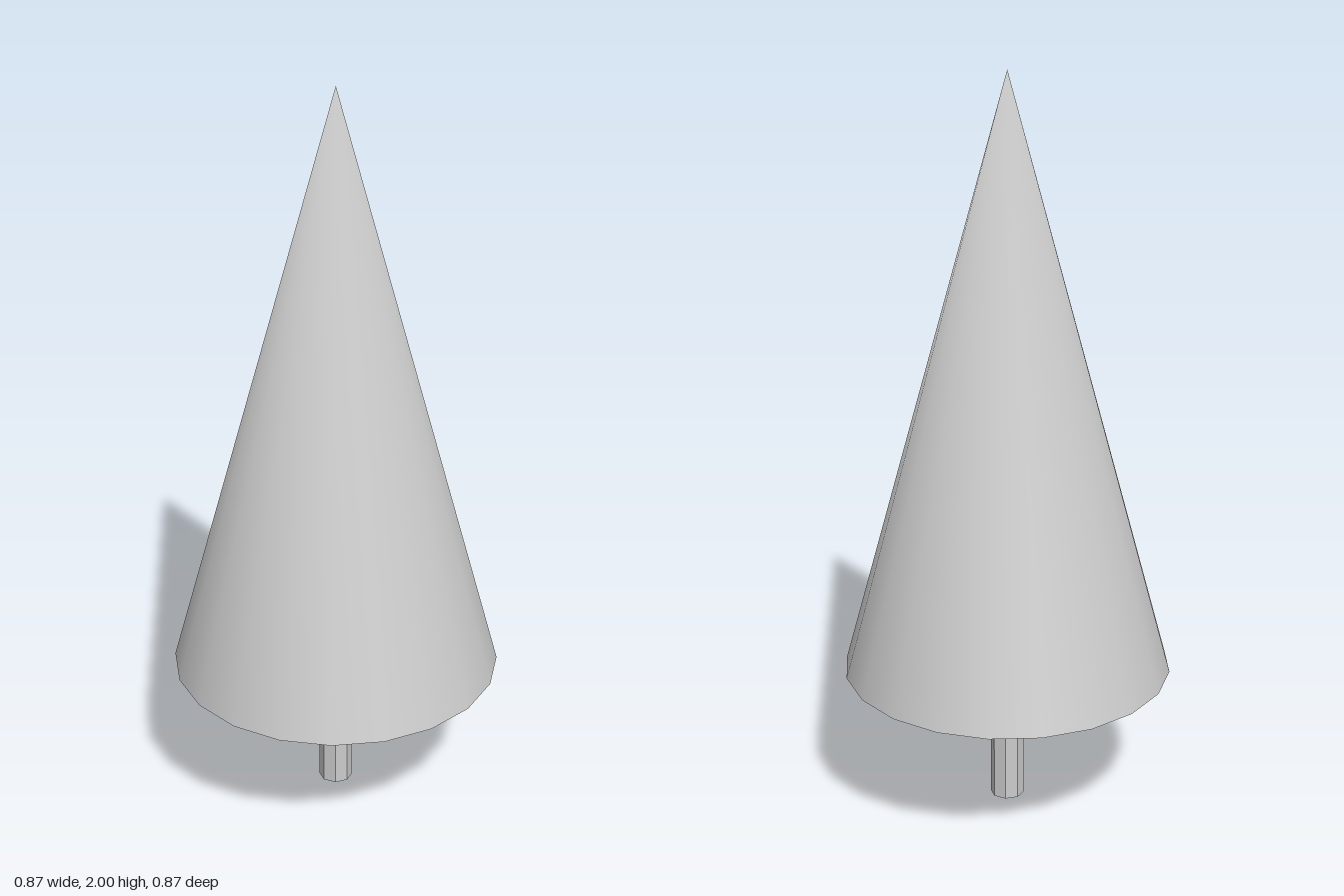
import * as THREE from 'three';

export function createModel() {
  const model = new THREE.Group();
  model.name = 'tree';

  // Foliage: smooth 20-sided cone with a flat underside
  const sides = 20, baseY = 0.385, height = 2 - baseY;
  const cone = new THREE.ConeGeometry(0.434, height, sides);
  // The tip shares one upward normal, so the shading runs smoothly over it
  for (let i = 0; i <= sides; i++) cone.attributes.normal.setXYZ(i, 0, 1, 0);
  const foliage = new THREE.Mesh(cone, new THREE.MeshStandardMaterial({ color: 0xcccccc }));
  foliage.name = 'foliage';
  foliage.position.y = baseY + height / 2;
  model.add(foliage);

  // Trunk: faceted octagonal post
  const trunk = new THREE.Mesh(
    new THREE.CylinderGeometry(0.045, 0.045, baseY, 8),
    new THREE.MeshStandardMaterial({ color: 0xcccccc, flatShading: true })
  );
  trunk.name = 'trunk';
  trunk.position.y = baseY / 2;
  model.add(trunk);

  return model;
}
